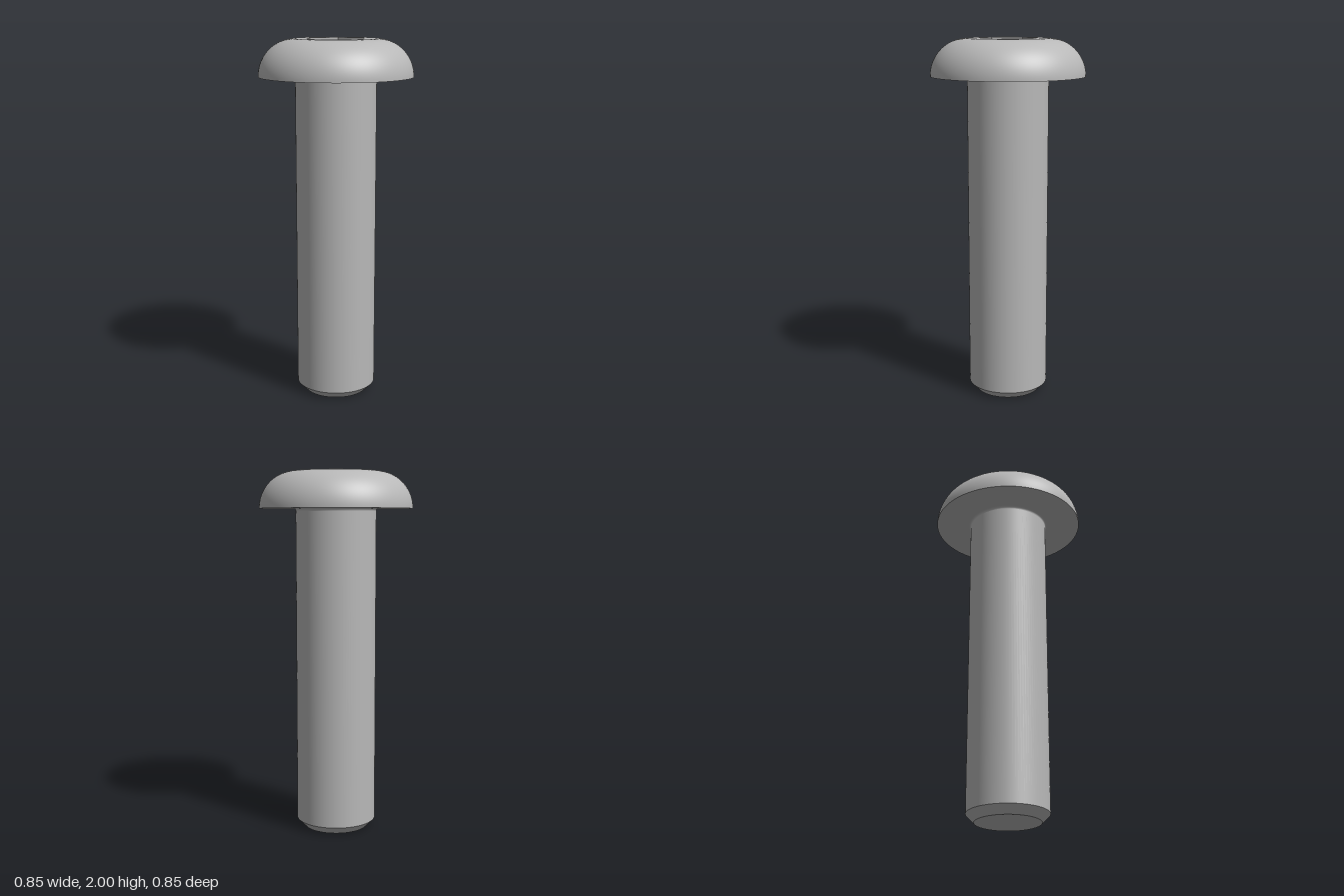
import * as THREE from 'three';

export function createModel() {
  const model = new THREE.Group();
  const steel = new THREE.MeshStandardMaterial({ color: 0xb8b8b8 });
  steel.name = 'steel';
  const SEG = 96;

  const add = (name, geometry, parent = model) => {
    const mesh = new THREE.Mesh(geometry, steel);
    mesh.name = name;
    parent.add(mesh);
    return mesh;
  };
  // Surface of revolution; the profile runs upwards on the outside
  const turned = (name, points, parent) =>
    add(name, new THREE.LatheGeometry(points.map(([r, y]) => new THREE.Vector2(r, y)), SEG), parent);
  // Quarter-round profile points about a centre
  const arc = (cx, cy, r, from, to, n) => Array.from({ length: n + 1 }, (_, i) => {
    const a = from + (to - from) * i / n;
    return [cx + r * Math.cos(a), cy + r * Math.sin(a)];
  });

  const shankR = 0.222, headR = 0.423, headY = 1.797, topR = 0.22;
  const fillet = 0.014, tipR = 0.178, chamferY = 0.045;

  // Shank with chamfered tip and a small fillet under the head
  const shank = new THREE.Group();
  shank.name = 'shank';
  model.add(shank);
  turned('tipFace', [[0, 0], [tipR, 0]], shank);
  turned('tipChamfer', [[tipR, 0], [shankR, chamferY]], shank);
  turned('shankBody', [[shankR, chamferY], [shankR, headY - fillet]], shank);
  turned('neckFillet', arc(shankR + fillet, headY - fillet, fillet, Math.PI, Math.PI / 2, 6), shank);

  // Button head
  const head = new THREE.Group();
  head.name = 'head';
  model.add(head);
  turned('headUnderside', [[shankR + fillet, headY], [headR, headY]], head);
  turned('headDome', arc(topR, headY, headR - topR, 0, Math.PI / 2, 24), head);

  // Flat top with a hexagonal opening, corners on the z axis
  const hexR = 0.172, wallDepth = 0.06, coneDepth = 0.09;
  const corner = (i) => [hexR * Math.sin(i * Math.PI / 3), hexR * Math.cos(i * Math.PI / 3)];
  const topShape = new THREE.Shape().absarc(0, 0, topR, 0, Math.PI * 2, false);
  const hole = new THREE.Path();
  for (let i = 0; i < 6; i++) {
    const [x, z] = corner(i);
    if (i === 0) hole.moveTo(x, z); else hole.lineTo(x, z);
  }
  hole.closePath();
  topShape.holes.push(hole);
  const top = new THREE.ShapeGeometry(topShape, SEG);
  top.rotateX(-Math.PI / 2);
  top.translate(0, 2, 0);
  add('headTop', top, head);

  // Hex socket: six inward walls and a shallow six-sided pointed floor
  const walls = [], floor = [];
  const y1 = 2 - wallDepth;
  for (let i = 0; i < 6; i++) {
    const [ax, az] = corner(i), [bx, bz] = corner(i + 1);
    walls.push(ax, 2, az, bx, 2, bz, bx, y1, bz, ax, 2, az, bx, y1, bz, ax, y1, az);
    floor.push(ax, y1, az, bx, y1, bz, 0, y1 - coneDepth, 0);
  }
  const faces = (positions) => {
    const g = new THREE.BufferGeometry();
    g.setAttribute('position', new THREE.Float32BufferAttribute(positions, 3));
    g.computeVertexNormals();
    return g;
  };
  add('socketWalls', faces(walls), head);
  add('socketFloor', faces(floor), head);

  return model;
}
